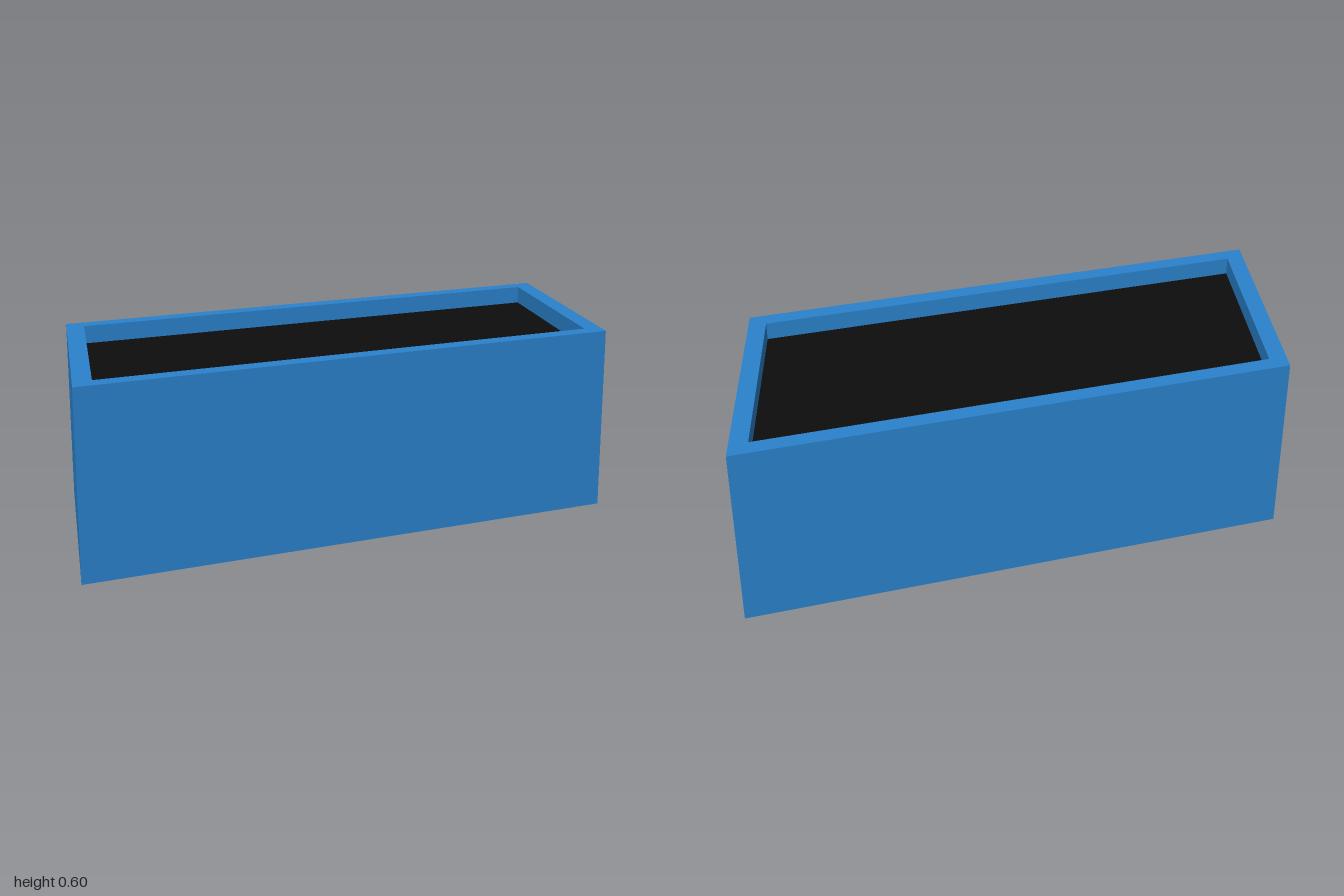
import * as THREE from 'three';

const SKEW = 0.24; // sideways lean of the plan, per unit of depth
const OUTER = [0.9, 0.416], INNER = [0.84, 0.358]; // half width, half depth
const HEIGHT = 0.602, FLOOR = 0.06, SOIL_TOP = 0.543;

// Four corners of a parallelogram at height y, counter-clockwise from above
function ring([hx, hz], y) {
  return [[-1, 1], [1, 1], [1, -1], [-1, -1]].map(([sx, sz]) =>
    new THREE.Vector3(sx * hx - SKEW * sz * hz, y, sz * hz));
}

// Joins successive rings with flat quads and closes both ends
function loft(rings) {
  const points = [];
  const quad = (a, b, c, d) => points.push(a, b, c, a, c, d);
  quad(...[...rings[0]].reverse());
  for (let r = 0; r < rings.length - 1; r++) {
    const lower = rings[r], upper = rings[r + 1];
    for (let i = 0; i < 4; i++) {
      const j = (i + 1) % 4;
      quad(lower[i], lower[j], upper[j], upper[i]);
    }
  }
  quad(...rings[rings.length - 1]);
  const geometry = new THREE.BufferGeometry().setFromPoints(points);
  geometry.computeVertexNormals();
  return geometry;
}

function part(name, geometry, color) {
  const mesh = new THREE.Mesh(geometry, new THREE.MeshStandardMaterial({ color }));
  mesh.name = name;
  return mesh;
}

export function createModel() {
  const group = new THREE.Group();
  group.name = 'planter';

  // Box: up the outside, across the rim, down the inside to the floor
  group.add(part('planterBox', loft([
    ring(OUTER, 0), ring(OUTER, HEIGHT), ring(INNER, HEIGHT), ring(INNER, FLOOR),
  ]), 0x2a82cb));

  // Soil filling the box to just below the rim
  group.add(part('soil', loft([ring(INNER, FLOOR), ring(INNER, SOIL_TOP)]), 0x0d0d0d));

  return group;
}
